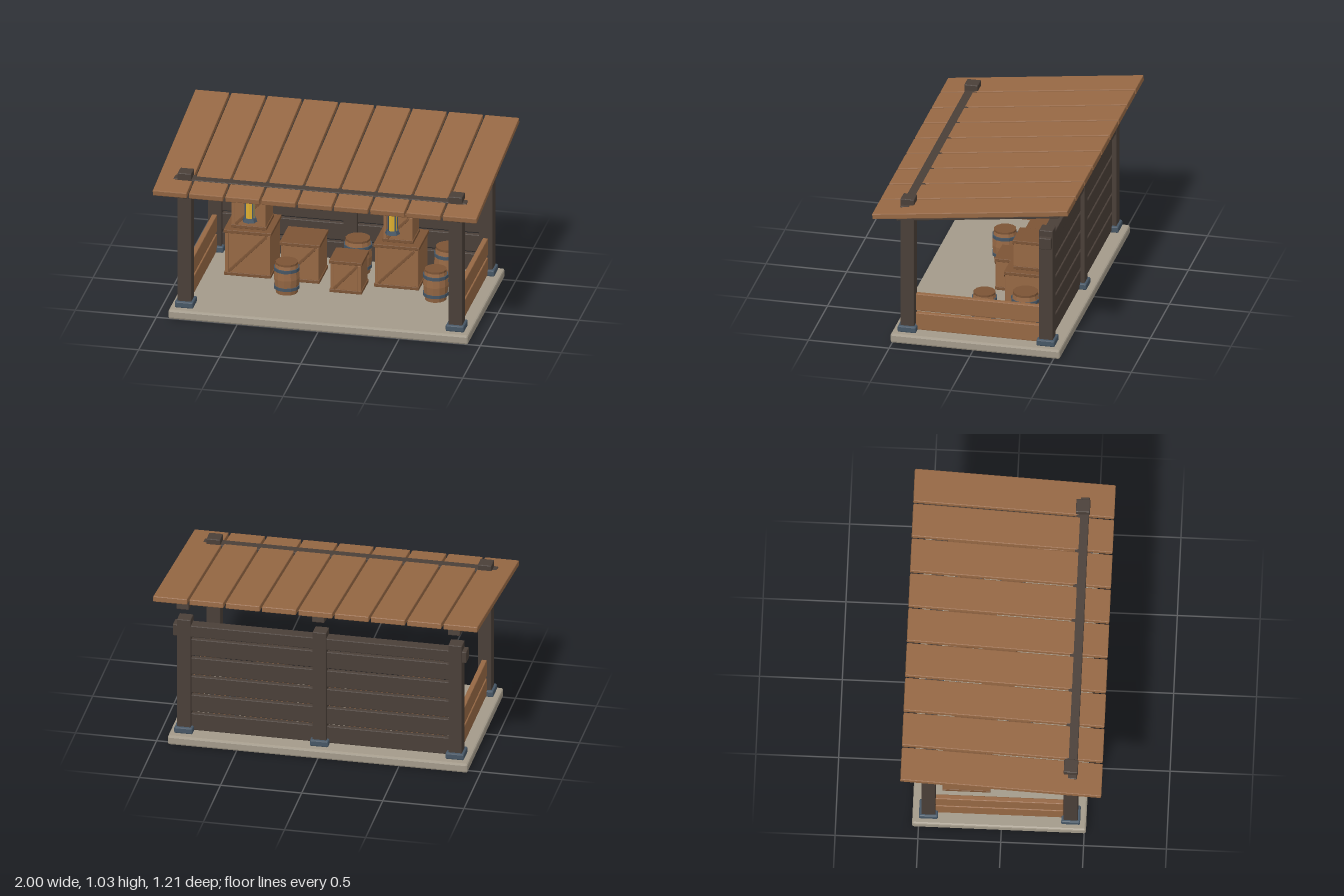
import * as THREE from 'three';
import { RoundedBoxGeometry } from 'three/addons/geometries/RoundedBoxGeometry.js';

const mat = (color) => new THREE.MeshStandardMaterial({ color, flatShading: true });

export function createModel() {
  const model = new THREE.Group();
  const darkWood = mat(0x4a3f38), wood = mat(0x966844), trimWood = mat(0x7c5435);
  const stone = mat(0xa39a8a), iron = mat(0x465665), glow = mat(0xe0b030);

  const add = (parent, name, geometry, material, x, y, z) => {
    const mesh = new THREE.Mesh(geometry, material);
    mesh.name = name;
    mesh.position.set(x, y, z);
    parent.add(mesh);
    return mesh;
  };
  // Box with slightly chamfered edges
  const box = (parent, name, material, w, h, d, x, y, z, bevel = 0.005) =>
    add(parent, name, new RoundedBoxGeometry(w, h, d, 1, bevel), material, x, y, z);
  const group = (name, x = 0, y = 0, z = 0) => {
    const g = new THREE.Group();
    g.name = name;
    g.position.set(x, y, z);
    model.add(g);
    return g;
  };

  const FLOOR = 0.06, POST_X = 0.836, FRONT_Z = 0.417, BACK_Z = -0.442, SLOPE = 0.122;

  box(model, 'floorSlab', stone, 1.85, FLOOR, 1.05, 0, FLOOR / 2, -0.014, 0.012);

  // Posts with iron feet
  const post = (name, x, z, top) => {
    const g = group(name, x, 0, z);
    box(g, 'shaft', darkWood, 0.085, top - FLOOR, 0.085, 0, (top + FLOOR) / 2, 0);
    box(g, 'foot', iron, 0.114, 0.042, 0.114, 0, 0.083, 0, 0.008);
  };
  for (const s of [-1, 1]) {
    post('frontPost', s * POST_X, FRONT_Z, 0.945);
    post('backPost', s * POST_X, BACK_Z, 0.828);
  }
  post('backMiddlePost', 0, BACK_Z, 0.828);

  // Long beams across front and back
  box(model, 'frontBeam', darkWood, 1.81, 0.076, 0.076, 0, 0.868, FRONT_Z);
  box(model, 'backBeam', darkWood, 1.81, 0.076, 0.076, 0, 0.75, BACK_Z);

  // Back wall planks
  for (let i = 0; i < 5; i++)
    box(model, 'backPlank', darkWood, 1.63, 0.112, 0.032, 0, 0.13 + i * 0.1255, BACK_Z);

  // Low side walls
  for (const s of [-1, 1])
    for (const y of [0.127, 0.253])
      box(model, 'sidePlank', wood, 0.032, 0.112, 0.77, s * POST_X, y, -0.014);

  // Sloping rafters and roof planks
  for (const x of [-POST_X, 0, POST_X])
    box(model, 'rafter', darkWood, 0.076, 0.062, 1.015, x, 0.883, -0.014).rotation.x = SLOPE;
  for (let i = 0; i < 9; i++)
    box(model, 'roofPlank', wood, 0.21, 0.036, 1.22, (i - 4) * 0.2237, 0.937, 0).rotation.x = SLOPE;

  // Lanterns under the front beam
  for (const x of [-0.44, 0.44]) {
    const g = group('lantern', x, 0, FRONT_Z);
    const disc = (name, m, r0, r1, y0, y1) =>
      add(g, name, new THREE.CylinderGeometry(r1, r0, y1 - y0, 8), m, 0, (y0 + y1) / 2, 0);
    disc('base', iron, 0.046, 0.038, 0.652, 0.675);
    disc('glass', glow, 0.029, 0.029, 0.67, 0.802);
    disc('cap', iron, 0.046, 0.036, 0.797, 0.82);
    disc('hanger', iron, 0.012, 0.012, 0.815, 0.84);
    for (let i = 0; i < 4; i++) {
      const a = Math.PI / 4 + (i * Math.PI) / 2;
      add(g, 'bar', new THREE.BoxGeometry(0.008, 0.13, 0.008), iron,
        Math.cos(a) * 0.032, 0.736, Math.sin(a) * 0.032);
    }
  }

  // Crates: body, lid, base, corner strips and a diagonal brace in front
  const crate = (x, y, z, w, h) => {
    const g = group('crate', x, y, z);
    const t = 0.022, b = w - 0.016;
    box(g, 'body', wood, b, h - 0.01, b, 0, h / 2, 0, 0.003);
    box(g, 'lid', trimWood, w, t, w, 0, h - t / 2, 0, 0.003);
    box(g, 'base', trimWood, w - 0.006, t, w - 0.006, 0, t / 2, 0, 0.003);
    for (const s of [-1, 1])
      box(g, 'cornerStrip', wood, 0.02, h - 2 * t, 0.008, s * (b / 2 - 0.01), h / 2, b / 2, 0.002);
    const dx = b - 0.05, dy = h - 2 * t - 0.015;
    const brace = box(g, 'brace', trimWood, Math.hypot(dx, dy), 0.016, 0.018, 0, h / 2, b / 2 + 0.006, 0.002);
    brace.rotation.z = Math.atan2(dy, dx);
  };
  crate(-0.563, FLOOR, -0.22, 0.295, 0.3);
  crate(-0.563, 0.36, -0.218, 0.226, 0.22);
  crate(0.352, FLOOR, -0.232, 0.283, 0.283);
  crate(0.352, 0.343, -0.232, 0.195, 0.193);
  crate(-0.238, FLOOR, -0.185, 0.25, 0.255);
  crate(0.068, FLOOR, -0.058, 0.205, 0.21);

  // Barrels: bulging staves, two hoops and a recessed-looking lid
  const barrel = (x, z, r, h) => {
    const g = group('barrel', x, FLOOR, z);
    const radius = (t) => r * (0.84 + 0.16 * Math.sin(Math.PI * t));
    const profile = [new THREE.Vector2(0, 0)];
    for (const t of [0, 0.2, 0.5, 0.8, 1]) profile.push(new THREE.Vector2(radius(t), t * h));
    profile.push(new THREE.Vector2(0, h));
    add(g, 'staves', new THREE.LatheGeometry(profile, 12), wood, 0, 0, 0);
    for (const t of [0.2, 0.8])
      add(g, 'hoop', new THREE.CylinderGeometry(radius(t) + 0.005, radius(t) + 0.005, 0.02, 12), iron, 0, t * h, 0);
    add(g, 'lid', new THREE.CylinderGeometry(r * 0.86, r * 0.86, 0.014, 12), trimWood, 0, h - 0.003, 0);
  };
  barrel(-0.285, 0.085, 0.08, 0.195);
  barrel(0.07, -0.3, 0.088, 0.22);
  barrel(0.638, -0.26, 0.09, 0.235);
  barrel(0.615, 0, 0.078, 0.195);

  return model;
}
